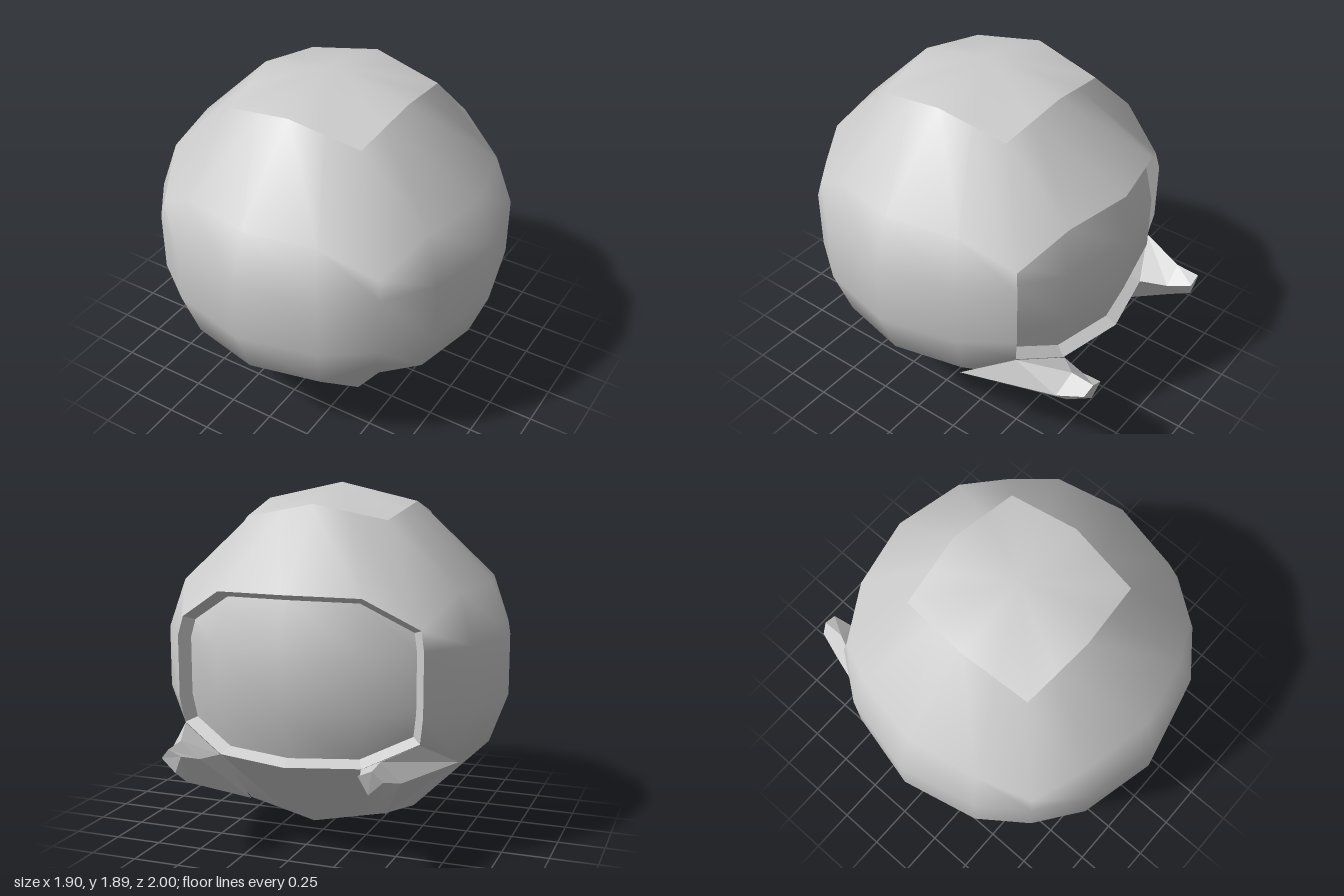
import * as THREE from 'three';

const CENTER = new THREE.Vector3(0, 0.945, 0.05);
const RADIUS = 0.945;
const VISOR_SCALE = 0.925;
const N = 16; // points around each ring

// Ring cross-sections over an eighth turn: [x, z, height] on the axis, between, on the diagonal
const PROFILES = [
  [[0.43, 0, 0.85], [0.41, 0.195, 0.812], [0.39, 0.39, 0.775]],
  [[0.85, 0, 0.435], [0.77, 0.385, 0.425], [0.65, 0.65, 0.265]],
  [[0.95, 0, 0.165], [0.85, 0.425, 0.165], [0.67, 0.67, 0.165]],
];

// Point k of ring r (0 = top, 5 = bottom), from +x towards +z
function ringPoint(r, k, scale = 1) {
  const upper = r < 3;
  const profile = PROFILES[upper ? r : 5 - r];
  const step = k % 4;
  let [x, z, h] = profile[step === 3 ? 1 : step];
  if (step === 3) [x, z] = [z, x];
  for (let i = 0; i < Math.floor(k / 4) % 4; i++) [x, z] = [-z, x];
  if (r === 4 && step === 2 && z < 0) h = 0.305; // opening dips at its lower corners
  return new THREE.Vector3(x, upper ? h : -h, z).multiplyScalar(scale).add(CENTER);
}

function geometryFrom(points, index) {
  const g = new THREE.BufferGeometry().setFromPoints(points);
  g.setIndex(index);
  g.computeVertexNormals();
  return g;
}

// Quads over the ring grid wherever keep(row, column) holds
function ringSurface(keep, scale) {
  const points = [], index = [];
  for (let r = 0; r < 6; r++) for (let k = 0; k < N; k++) points.push(ringPoint(r, k, scale));
  for (let r = 0; r < 5; r++) for (let k = 0; k < N; k++) {
    if (!keep(r, k)) continue;
    const a = r * N + k, b = r * N + (k + 1) % N;
    index.push(a, b, a + N, b, b + N, a + N);
  }
  return geometryFrom(points, index);
}

// Fan closing the top or bottom ring
function cap(r, sign) {
  const points = [CENTER.clone().setY(CENTER.y + sign * RADIUS)], index = [];
  for (let k = 0; k < N; k++) {
    points.push(ringPoint(r, k));
    const a = 1 + k, b = 1 + (k + 1) % N;
    index.push(0, ...(sign > 0 ? [b, a] : [a, b]));
  }
  return geometryFrom(points, index);
}

// Surface through equal-length loops of points, optionally closing the last loop
function loft(loops, closeEnd) {
  const n = loops[0].length, index = [];
  for (let l = 0; l < loops.length - 1; l++) for (let i = 0; i < n; i++) {
    const a = l * n + i, b = l * n + (i + 1) % n;
    index.push(a, b, a + n, b, b + n, a + n);
  }
  const e = (loops.length - 1) * n;
  if (closeEnd) for (let i = 1; i < n - 1; i++) index.push(e, e + i, e + i + 1);
  return geometryFrom(loops.flat(), index);
}

export function createModel() {
  const group = new THREE.Group();
  const smooth = new THREE.MeshStandardMaterial({ color: 0xcccccc, side: THREE.DoubleSide });
  const flat = new THREE.MeshStandardMaterial({ color: 0xcccccc, side: THREE.DoubleSide, flatShading: true });
  const add = (name, geometry, material) => {
    const mesh = new THREE.Mesh(geometry, material);
    mesh.name = name;
    group.add(mesh);
  };

  // Helmet shell with the face opening at the back
  const inOpening = (r, k) => r >= 1 && r <= 3 && k >= 10 && k <= 13;
  add('shell', ringSurface((r, k) => !inOpening(r, k)), smooth);
  add('crown', cap(0, 1), smooth);
  add('base', cap(5, -1), smooth);

  // Recessed visor and the rim around it
  add('visor', ringSurface(inOpening, VISOR_SCALE), smooth);
  const border = [];
  for (let k = 10; k < 14; k++) border.push([1, k]);
  for (let r = 1; r < 4; r++) border.push([r, 14]);
  for (let k = 14; k > 10; k--) border.push([4, k]);
  for (let r = 4; r > 1; r--) border.push([r, 10]);
  const rimLoop = (scale) => border.map(([r, k]) => ringPoint(r, k, scale));
  add('openingRim', loft([rimLoop(1), rimLoop(VISOR_SCALE)], false), flat);

  // Pointed jaw guards: outer, top, inner and lower corner of each section
  const sections = [
    [[0.78, 0.49, -0.335], [0.65, 0.635, -0.6], [0.385, 0.52, -0.725], [0.39, 0.165, -0.345]],
    [[0.63, 0.51, -0.84], [0.535, 0.615, -0.87], [0.43, 0.53, -0.87], [0.52, 0.39, -0.84]],
    [[0.585, 0.55, -0.98], [0.535, 0.605, -1], [0.465, 0.575, -1], [0.51, 0.48, -0.98]],
  ];
  for (const [name, side] of [['leftJawGuard', 1], ['rightJawGuard', -1]]) {
    const loops = sections.map((s) => s.map(([x, y, z]) => new THREE.Vector3(side * x, y, z)));
    if (side < 0) loops.forEach((l) => l.reverse());
    add(name, loft(loops, true), flat);
  }
  return group;
}
